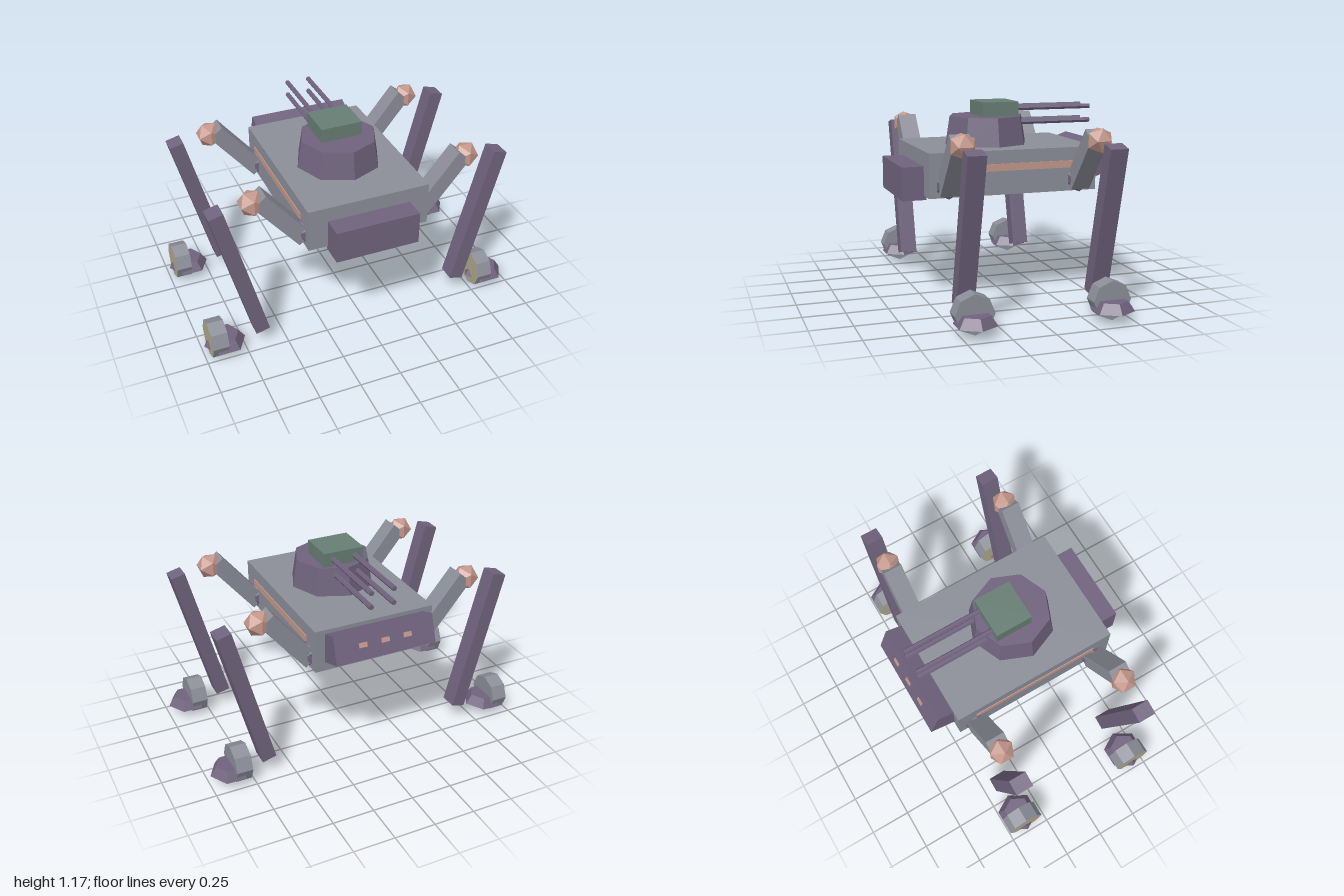
import * as THREE from 'three';

const paint = (name, color) => {
  const m = new THREE.MeshStandardMaterial({ color, flatShading: true });
  m.name = name;
  return m;
};

export function createModel() {
  const grey = paint('armour grey', 0x8b8d98);
  const purple = paint('dull purple', 0x6f637d);
  const green = paint('hatch green', 0x677d73);
  const copper = paint('copper', 0xc3978b);
  const sand = paint('sand', 0xaca78a);

  const model = new THREE.Group();
  model.name = 'walker';

  const add = (name, geometry, material, x, y, z, parent = model) => {
    const mesh = new THREE.Mesh(geometry, material);
    mesh.name = name;
    mesh.position.set(x, y, z);
    parent.add(mesh);
    return mesh;
  };
  const box = (w, h, d) => new THREE.BoxGeometry(w, h, d);
  const midZ = 0.013;

  // Hull with its nose block and side stripes
  add('hull', box(0.745, 0.26, 1.03), grey, 0, 0.79, midZ);
  add('nose', box(0.51, 0.197, 0.142), purple, 0, 0.732, 0.586);
  for (const s of [-1, 1]) {
    add('sideStripe', box(0.008, 0.042, 0.8), copper, s * 0.3735, 0.821, midZ);
  }

  // Tilted engine block with three exhaust vents
  const engine = new THREE.Group();
  engine.name = 'engine';
  engine.position.set(0, 0.817, -0.535);
  engine.rotation.x = 0.34;
  model.add(engine);
  add('engineBlock', box(0.625, 0.17, 0.2), purple, 0, 0, 0, engine);
  for (const x of [-0.14, 0, 0.14]) {
    add('vent', box(0.05, 0.027, 0.009), copper, x, 0, -0.101, engine);
  }

  // Eight-sided turret, hatch and four barrels
  add('turret', new THREE.CylinderGeometry(0.23, 0.257, 0.17, 8), purple, 0, 1.005, 0.067);
  add('hatch', box(0.254, 0.086, 0.228), green, 0, 1.133, midZ);
  const barrel = new THREE.CylinderGeometry(0.016, 0.016, 0.54, 6);
  barrel.rotateY(Math.PI / 2).rotateX(Math.PI / 2);
  for (const x of [-0.07, 0.07]) {
    for (const y of [1.133, 1.047]) add('barrel', barrel, purple, x, y, -0.32);
  }

  // Shared leg geometry
  const hip = new THREE.IcosahedronGeometry(0.09, 0);
  const knee = new THREE.IcosahedronGeometry(0.08, 0);
  const thigh = box(0.098, 0.41, 0.115);
  const shin = box(0.088, 0.906, 0.106);
  const sole = new THREE.CylinderGeometry(0.087, 0.125, 0.057, 6).rotateY(Math.PI / 2);
  const wheel = new THREE.CylinderGeometry(0.114, 0.114, 0.097, 8).rotateZ(Math.PI / 2);

  // Four legs; each wheel sits toward -x on its foot
  for (const s of [-1, 1]) {
    for (const z of [midZ + 0.403, midZ - 0.403]) {
      const leg = new THREE.Group();
      leg.name = (z > 0 ? 'front' : 'back') + (s > 0 ? 'Left' : 'Right') + 'Leg';
      leg.position.z = z;
      model.add(leg);
      add('hip', hip, purple, s * 0.345, 0.731, 0, leg);
      add('thigh', thigh, grey, s * 0.498, 0.861, 0, leg).rotation.z = -s * 0.69;
      add('knee', knee, copper, s * 0.66, 0.992, 0, leg);
      add('shin', shin, purple, s * 0.76, 0.546, 0, leg).rotation.z = -s * 0.256;
      add('sole', sole, purple, s * 0.87, 0.09, 0, leg);
      add('wheel', wheel, [grey, sand, grey], s * 0.87 - 0.05, 0.115, 0, leg);
    }
  }
  return model;
}
